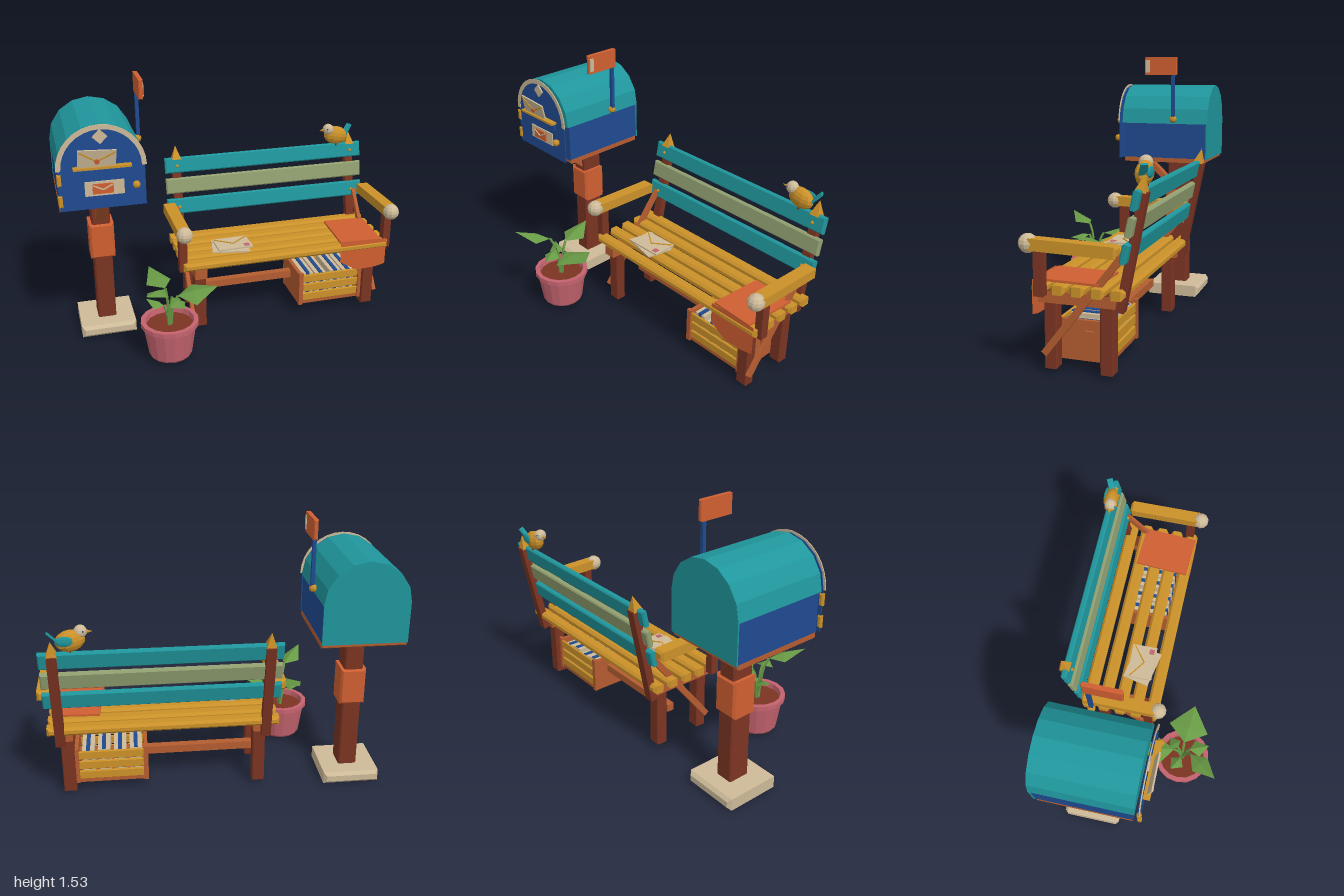
import * as THREE from 'three';

const mat = (name, color, side = THREE.FrontSide) =>
  new THREE.MeshStandardMaterial({ name, color, side, flatShading: true });

export function createModel() {
  const M = {
    teal: mat('teal', 0x1f969c), navy: mat('navy', 0x1f4a90), mustard: mat('mustard', 0xcb9129),
    cream: mat('cream', 0xcdba98), orange: mat('orange', 0xcf5f31, THREE.DoubleSide),
    wood: mat('midWood', 0xb45c30), dark: mat('darkWood', 0x7b3422), pink: mat('pink', 0xc4636e),
    sage: mat('sage', 0x909f70), green: mat('leafGreen', 0x689a45, THREE.DoubleSide),
  };
  const root = new THREE.Group();
  const V = (x, y, z) => new THREE.Vector3(x, y, z);
  const group = (name, parent = root) => {
    const g = new THREE.Group();
    g.name = name;
    parent.add(g);
    return g;
  };
  const add = (parent, name, geo, m, x = 0, y = 0, z = 0) => {
    const mesh = new THREE.Mesh(geo, m);
    mesh.name = name;
    mesh.position.set(x, y, z);
    parent.add(mesh);
    return mesh;
  };
  // Box with chamfered edges, centred on the origin
  const chamfer = (w, h, d, b) => {
    if (!b) return new THREE.BoxGeometry(w, h, d);
    const x = w / 2 - b, y = h / 2 - b;
    const s = new THREE.Shape([[-x, -y], [x, -y], [x, y], [-x, y]].map(p => new THREE.Vector2(...p)));
    return new THREE.ExtrudeGeometry(s, { depth: d - 2 * b, bevelSize: b, bevelThickness: b, bevelSegments: 1 })
      .translate(0, 0, b - d / 2);
  };
  // Box from its limits
  const box = (parent, name, m, x0, x1, y0, y1, z0, z1, b = 0) =>
    add(parent, name, chamfer(x1 - x0, y1 - y0, z1 - z0, b), m, (x0 + x1) / 2, (y0 + y1) / 2, (z0 + z1) / 2);
  // Bar running from a to b
  const beam = (parent, name, m, a, b, w, h, bevel = 0) => {
    const mesh = add(parent, name, chamfer(w, h, a.distanceTo(b), bevel), m);
    mesh.position.copy(a).add(b).multiplyScalar(0.5);
    mesh.lookAt(b);
    return mesh;
  };
  const ball = (parent, name, m, r, x, y, z, seg = 8) =>
    add(parent, name, new THREE.SphereGeometry(r, seg, Math.max(5, seg - 2)), m, x, y, z);
  // Envelope facing +z with flap lines and a seal
  const envelope = (parent, name, w, h, paper = M.cream, line = M.mustard, seal = M.orange) => {
    const g = group(name, parent);
    add(g, 'paper', chamfer(w, h, 0.009), paper);
    for (const s of [-1, 1])
      beam(g, 'flapLine', line, V(s * w * 0.46, h * 0.4, 0.006), V(0, -h * 0.08, 0.006), 0.006, 0.007);
    if (seal) add(g, 'seal', new THREE.CylinderGeometry(h * 0.13, h * 0.13, 0.009, 8).rotateX(Math.PI / 2), seal, 0, -h * 0.08, 0.009);
    return g;
  };

  // ---------- Mailbox ----------
  const mail = group('mailbox');
  const cx = -0.76, R = 0.235, yc = 1.12;
  box(mail, 'base', M.cream, -0.92, -0.6, 0, 0.07, -0.38, -0.04, 0.018);
  box(mail, 'post', M.dark, -0.812, -0.706, 0.06, 0.87, -0.275, -0.145, 0.008);
  box(mail, 'postSleeve', M.orange, -0.83, -0.688, 0.465, 0.68, -0.285, -0.135, 0.012);
  box(mail, 'topPlate', M.mustard, -0.86, -0.66, 0.862, 0.88, -0.3, -0.12);
  beam(mail, 'brace', M.wood, V(cx, 0.88, 0.02), V(cx, 0.71, -0.16), 0.06, 0.035);
  box(mail, 'floorBoard', M.wood, -0.992, -0.528, 0.878, 0.905, -0.428, 0.095, 0.006);
  box(mail, 'body', M.navy, -0.99, -0.53, 0.9, 1.125, -0.428, 0.095);
  const arc = (r, n = 8) => Array.from({ length: n + 1 }, (_, i) =>
    new THREE.Vector2(r * Math.cos(i * Math.PI / n), r * Math.sin(i * Math.PI / n)));
  const plate = (pts, depth) => new THREE.ExtrudeGeometry(new THREE.Shape(pts), { depth, bevelEnabled: false });
  const archPlate = (r, drop) => [new THREE.Vector2(r, -drop), ...arc(r), new THREE.Vector2(-r, -drop)];
  add(mail, 'roof', plate(arc(R), 0.545), M.teal, cx, yc, -0.437);
  add(mail, 'backPlate', plate(archPlate(0.233, 0.22), 0.008), M.teal, cx, yc, -0.438);
  add(mail, 'door', plate(archPlate(0.228, 0.225), 0.006), M.navy, cx, yc, 0.125);
  add(mail, 'doorTrim', plate([...arc(0.238, 16), ...arc(0.212, 16).reverse()], 0.005), M.cream, cx, yc, 0.13);
  for (const y of [1.07, 0.952])
    box(mail, 'hinge', M.mustard, -0.995, -0.972, y - 0.032, y + 0.032, 0.117, 0.141, 0.005);
  add(mail, 'diamond', chamfer(0.056, 0.056, 0.009), M.cream, cx, 1.293, 0.135).rotation.z = Math.PI / 4;
  box(mail, 'slotLip', M.mustard, -0.91, -0.605, 1.126, 1.138, 0.13, 0.168);
  box(mail, 'slot', M.navy, -0.86, -0.615, 1.085, 1.115, 0.13, 0.145);
  const posted = envelope(mail, 'postedLetter', 0.2, 0.11);
  posted.position.set(-0.785, 1.18, 0.16);
  posted.rotation.set(0.22, 0, -0.06);
  box(mail, 'namePlate', M.cream, -0.855, -0.647, 0.97, 1.05, 0.13, 0.138);
  const badge = envelope(mail, 'badge', 0.11, 0.055, M.orange, M.cream, null);
  badge.position.set(cx, 1.01, 0.141);
  ball(mail, 'doorKnob', M.mustard, 0.021, -0.585, 1.02, 0.155);
  // Signal flag
  ball(mail, 'flagPivot', M.mustard, 0.023, -0.515, 1.15, -0.225);
  box(mail, 'flagPole', M.navy, -0.52, -0.5, 1.13, 1.43, -0.235, -0.215);
  box(mail, 'flag', M.orange, -0.522, -0.498, 1.42, 1.53, -0.25, -0.045, 0.005);
  box(mail, 'flagStripe', M.cream, -0.5, -0.494, 1.435, 1.512, -0.078, -0.052);

  // ---------- Bench ----------
  const bench = group('bench');
  const mid = 0.312;
  for (const z of [0.04, -0.06, -0.155, -0.255, -0.352])
    box(bench, 'seatSlat', M.mustard, -0.325, 0.945, 0.412, 0.46, z - 0.037, z + 0.037, 0.014);
  const tilt = -Math.atan(0.2);
  for (const [y, z, m] of [[0.885, -0.441, M.teal], [0.76, -0.416, M.sage], [0.635, -0.391, M.teal]])
    add(bench, 'backSlat', chamfer(1.275, 0.095, 0.034, 0.007), m, mid, y, z).rotation.x = tilt;
  for (const s of [-1, 1]) {
    const side = group(s < 0 ? 'rightSide' : 'leftSide', bench);
    const X = mid + s * 0.535, bx = mid + s * 0.565, ax = mid + s * 0.635;
    for (const [z0, z1] of [[-0.03, 0.035], [-0.32, -0.252]])
      box(side, 'leg', M.dark, X - 0.035, X + 0.035, 0.02, 0.412, z0, z1, 0.005);
    box(side, 'seatRail', M.wood, X - 0.036, X + 0.036, 0.352, 0.41, -0.34, 0.065);
    beam(side, 'backPost', M.dark, V(bx, 0.345, -0.355), V(bx, 0.92, -0.468), 0.052, 0.042);
    const tip = add(side, 'finial', new THREE.ConeGeometry(0.04, 0.085, 4).rotateY(Math.PI / 4), M.mustard, bx, 0.96, -0.462);
    tip.rotation.x = tilt;
    for (const [y, z] of [[0.885, -0.421], [0.635, -0.371]])
      ball(side, 'bolt', M.mustard, 0.01, bx, y, z, 6);
    beam(side, 'diagonalBrace', M.wood, V(mid + s * 0.582, 0.1, 0.03), V(mid + s * 0.582, 0.63, -0.38), 0.022, 0.035);
    box(side, 'armPost', M.dark, ax - 0.023, ax + 0.023, 0.405, 0.635, 0, 0.05);
    beam(side, 'armrest', M.mustard, V(ax, 0.645, -0.365), V(ax, 0.656, 0.085), 0.072, 0.058, 0.013);
    ball(side, 'armKnob', M.cream, 0.048, ax - s * 0.002, 0.655, 0.085, 10);
  }
  box(bench, 'stretcher', M.wood, -0.2, 0.83, 0.165, 0.21, -0.2, -0.155);

  // Letters on the seat
  const under = envelope(bench, 'lowerLetter', 0.22, 0.16, M.cream, M.cream, null);
  under.position.set(-0.01, 0.472, -0.08);
  under.rotation.set(-Math.PI / 2, 0, -0.2);
  const upper = envelope(bench, 'upperLetter', 0.21, 0.15, M.cream, M.mustard, null);
  upper.position.set(0.005, 0.486, -0.085);
  upper.rotation.set(-Math.PI / 2, 0, 0.03);
  box(bench, 'stamp', M.pink, 0.065, 0.095, 0.49, 0.494, -0.055, -0.025);

  // Cloth over the seat edge
  const cloth = group('cloth', bench);
  add(cloth, 'clothTop', chamfer(0.255, 0.012, 0.325), M.orange, 0.78, 0.47, -0.1).rotation.y = -0.05;
  const drape = new THREE.Shape([[0.64, 0.476], [0.64, 0.35], [0.75, 0.285], [0.87, 0.29], [0.935, 0.305], [0.935, 0.476]]
    .map(p => new THREE.Vector2(...p)));
  add(cloth, 'clothDrape', new THREE.ShapeGeometry(drape), M.orange, 0, 0, 0.072);

  // Crate with papers
  const crate = group('crate', bench);
  box(crate, 'crateFloor', M.wood, 0.405, 0.815, 0.055, 0.085, -0.285, 0);
  for (const x of [0.405, 0.793]) {
    box(crate, 'crateSide', M.wood, x, x + 0.022, 0.08, 0.26, -0.28, -0.005);
    for (const z of [-0.295, -0.008])
      box(crate, 'cratePost', M.wood, x - 0.002, x + 0.025, 0.055, 0.27, z, z + 0.022);
  }
  for (let i = 0; i < 3; i++)
    for (const z of [-0.287, -0.012])
      box(crate, 'crateSlat', M.mustard, 0.41, 0.81, 0.075 + i * 0.062, 0.127 + i * 0.062, z, z + 0.015, 0.004);
  for (let i = 0; i < 4; i++) {
    const x = 0.435 + i * 0.09;
    box(crate, 'paper', M.cream, x, x + 0.07, 0.085, 0.25 - (i % 2) * 0.015, -0.265, -0.025);
    box(crate, 'paperBand', M.navy, x + 0.025, x + 0.047, 0.1, 0.256 - (i % 2) * 0.015, -0.262, -0.022);
  }

  // ---------- Potted plant ----------
  const plant = group('pottedPlant');
  plant.position.set(-0.455, 0, 0.265);
  const profile = [[0, 0.022], [0.112, 0.022], [0.122, 0.035], [0.148, 0.205], [0.163, 0.212], [0.163, 0.24], [0.137, 0.24], [0.13, 0.195]];
  add(plant, 'pot', new THREE.LatheGeometry(profile.map(p => new THREE.Vector2(...p)), 16), M.pink);
  add(plant, 'soil', new THREE.CylinderGeometry(0.135, 0.135, 0.01, 16), M.dark, 0, 0.203, 0);
  // Folded leaf on a curved stem: base, tip, half width
  const leaf = (b, t, w) => {
    const dir = t.clone().sub(b);
    const side = V(-dir.z, 0, dir.x).normalize().multiplyScalar(w);
    const c = b.clone().addScaledVector(dir, 0.4).add(V(0, 0.012, 0));
    const l = c.clone().add(side).add(V(0, -0.03, 0)), r = c.clone().sub(side).add(V(0, -0.03, 0));
    const geo = new THREE.BufferGeometry().setFromPoints([b, c, l, l, c, t, b, r, c, c, r, t]);
    geo.computeVertexNormals();
    add(plant, 'leaf', geo, M.green);
    const path = new THREE.QuadraticBezierCurve3(V(b.x * 0.15, 0.2, b.z * 0.15), V(b.x * 0.3, b.y - 0.04, b.z * 0.3), b);
    add(plant, 'stem', new THREE.TubeGeometry(path, 5, 0.008, 5), M.green);
  };
  leaf(V(-0.03, 0.46, 0.05), V(-0.155, 0.52, 0.215), 0.06);
  leaf(V(0.05, 0.38, 0), V(0.275, 0.42, 0.02), 0.12);
  leaf(V(-0.01, 0.41, -0.05), V(-0.065, 0.45, -0.26), 0.075);
  leaf(V(0.01, 0.4, 0.04), V(0.06, 0.38, 0.15), 0.05);
  leaf(V(-0.03, 0.33, 0), V(-0.12, 0.36, -0.05), 0.045);
  leaf(V(0.02, 0.34, -0.03), V(0.08, 0.31, -0.09), 0.04);

  // ---------- Bird ----------
  const bird = group('bird');
  bird.position.set(0.78, 0.99, -0.437);
  const body = ball(bird, 'body', M.mustard, 0.058, 0, 0, 0, 10);
  body.scale.set(1.35, 1, 0.75);
  body.rotation.z = -0.2;
  ball(bird, 'head', M.cream, 0.035, -0.055, 0.045, 0.01, 10);
  add(bird, 'beak', new THREE.ConeGeometry(0.012, 0.035, 5).rotateZ(Math.PI / 2), M.mustard, -0.1, 0.042, 0.013);
  for (const s of [-1, 1]) {
    ball(bird, 'eye', M.navy, 0.005, -0.07, 0.053, 0.01 + s * 0.03, 6);
    box(bird, 'foot', M.dark, -0.004, 0.004, -0.065, -0.04, s * 0.016 - 0.004, s * 0.016 + 0.004);
  }
  const wing = ball(bird, 'wing', M.teal, 0.035, 0.025, 0.01, -0.037, 8);
  wing.scale.set(1.4, 0.8, 0.3);
  beam(bird, 'tail', M.teal, V(0.05, 0.005, -0.008), V(0.115, 0.045, -0.03), 0.035, 0.012);

  return root;
}
